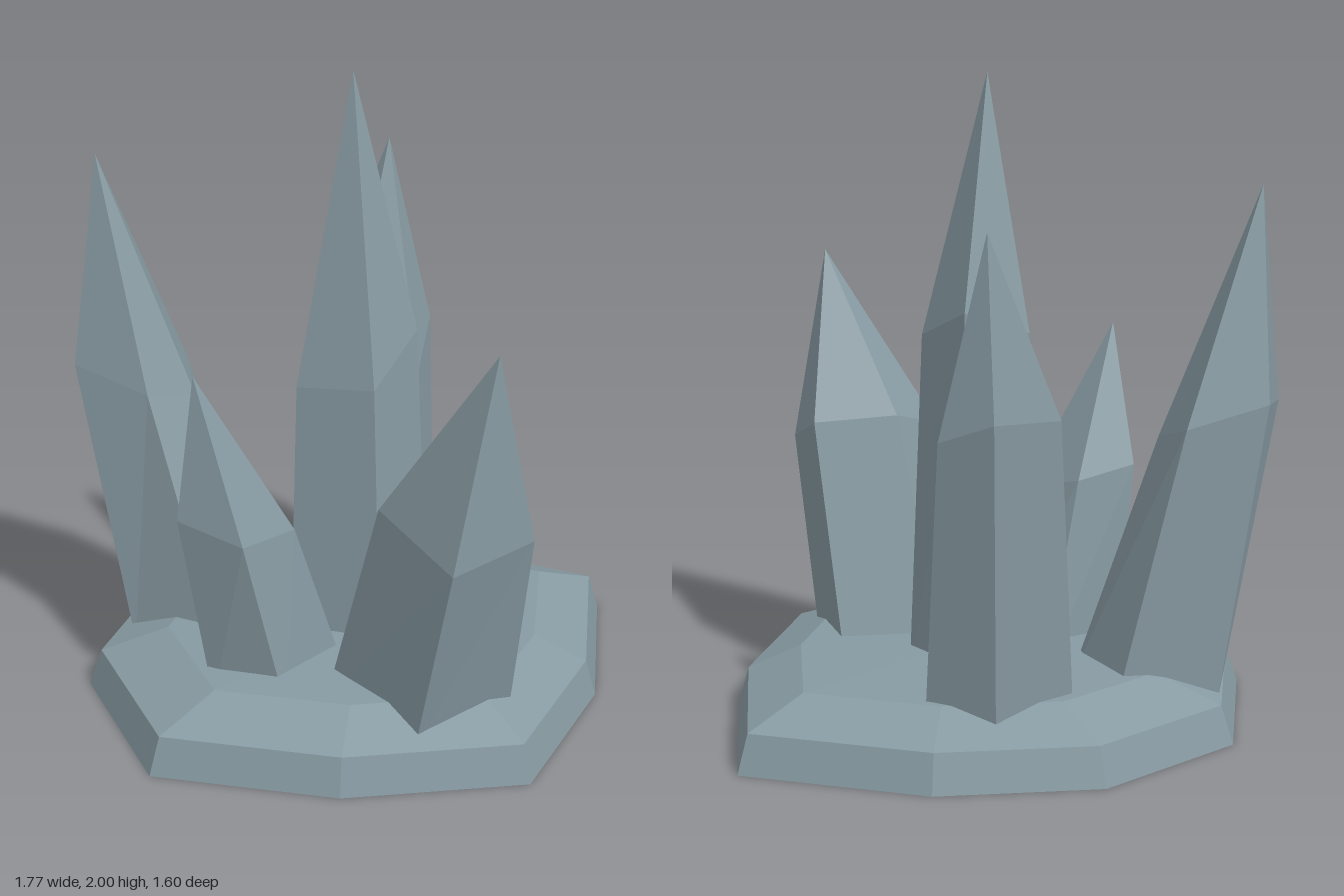
import * as THREE from 'three';

const stone = new THREE.MeshStandardMaterial({ color: 0x879aa2, flatShading: true });
stone.name = 'slate stone';

// Joins rings of [x, y, z] corners from bottom to top, closed by a floor and a tip.
function loft(name, rings, tip) {
  const pos = [];
  const tri = (...corners) => corners.forEach((c) => pos.push(...c));
  const n = rings[0].length;
  const floor = [0, 1, 2].map((k) => rings[0].reduce((s, p) => s + p[k], 0) / n);
  const top = rings[rings.length - 1];
  for (let i = 0; i < n; i++) {
    const j = (i + 1) % n;
    tri(rings[0][i], rings[0][j], floor);
    for (let r = 0; r + 1 < rings.length; r++) {
      const lower = rings[r], upper = rings[r + 1];
      tri(lower[i], upper[i], lower[j]);
      tri(lower[j], upper[i], upper[j]);
    }
    tri(top[i], tip, top[j]);
  }
  const geometry = new THREE.BufferGeometry();
  geometry.setAttribute('position', new THREE.Float32BufferAttribute(pos, 3));
  geometry.computeVertexNormals();
  const mesh = new THREE.Mesh(geometry, stone);
  mesh.name = name;
  return mesh;
}

// A leaning five-sided crystal: foot corners [x, z] at ground level, then shoulder corners and tip.
const GROUND = 0.2, SUNK = 0.08;
function crystal(name, foot, shoulder, tip) {
  const root = foot.map(([x, z], i) => {
    const [sx, sy, sz] = shoulder[i];
    const t = (SUNK - GROUND) / (sy - GROUND);
    return [x + (sx - x) * t, SUNK, z + (sz - z) * t];
  });
  return loft(name, [root, shoulder], tip);
}

export function createModel() {
  const group = new THREE.Group();
  group.name = 'crystalCluster';

  // Irregular nine-sided base with a bevelled top
  const outline = [
    [0.885, -0.067], [0.56, 0.44], [0.11, 0.8], [-0.43, 0.61], [-0.885, 0.24],
    [-0.845, -0.36], [-0.44, -0.77], [0.09, -0.8], [0.525, -0.54],
  ];
  const baseRings = [[1, 0], [0.955, 0.12], [0.72, 0.196]].map(([s, y]) =>
    outline.map(([x, z]) => [x * s, y, z * s]));
  group.add(loft('rockBase', baseRings, [0, 0.206, 0]));

  // Crystals
  group.add(crystal('centreCrystal',
    [[0.14, 0.09], [-0.05, 0.125], [-0.26, -0.08], [-0.08, -0.27], [0.14, -0.16]],
    [[0.11, 1.2, 0.065], [-0.055, 1.04, 0.1], [-0.23, 1.02, -0.08], [-0.07, 1.23, -0.235], [0.11, 1.3, -0.15]],
    [-0.04, 2, -0.064]));
  group.add(crystal('frontCrystal',
    [[0.165, 0.585], [-0.165, 0.62], [-0.26, 0.23], [0, 0.13], [0.26, 0.3]],
    [[0.155, 0.76, 0.71], [-0.13, 0.72, 0.738], [-0.2, 0.81, 0.41], [0.015, 0.88, 0.33], [0.235, 0.86, 0.475]],
    [0.026, 1.365, 0.71]));
  group.add(crystal('backRightCrystal',
    [[0.39, -0.33], [0.225, -0.12], [-0.01, -0.28], [0.005, -0.54], [0.29, -0.535]],
    [[0.428, 1.01, -0.44], [0.28, 0.91, -0.245], [0.09, 0.96, -0.38], [0.11, 1.06, -0.605], [0.35, 1.08, -0.6]],
    [0.322, 1.615, -0.53]));
  group.add(crystal('backLeftCrystal',
    [[-0.255, -0.27], [-0.48, -0.195], [-0.67, -0.45], [-0.49, -0.665], [-0.215, -0.52]],
    [[-0.42, 0.9, -0.43], [-0.585, 0.93, -0.42], [-0.753, 1, -0.605], [-0.585, 1.03, -0.737], [-0.37, 0.96, -0.61]],
    [-0.648, 1.675, -0.62]));
  group.add(crystal('leftCrystal',
    [[-0.19, 0.1], [-0.435, 0.19], [-0.6, 0.03], [-0.5, -0.17], [-0.24, -0.14]],
    [[-0.33, 0.64, 0.105], [-0.535, 0.655, 0.178], [-0.672, 0.7, 0.005], [-0.56, 0.73, -0.16], [-0.36, 0.7, -0.125]],
    [-0.607, 1.16, 0.005]));

  return group;
}
